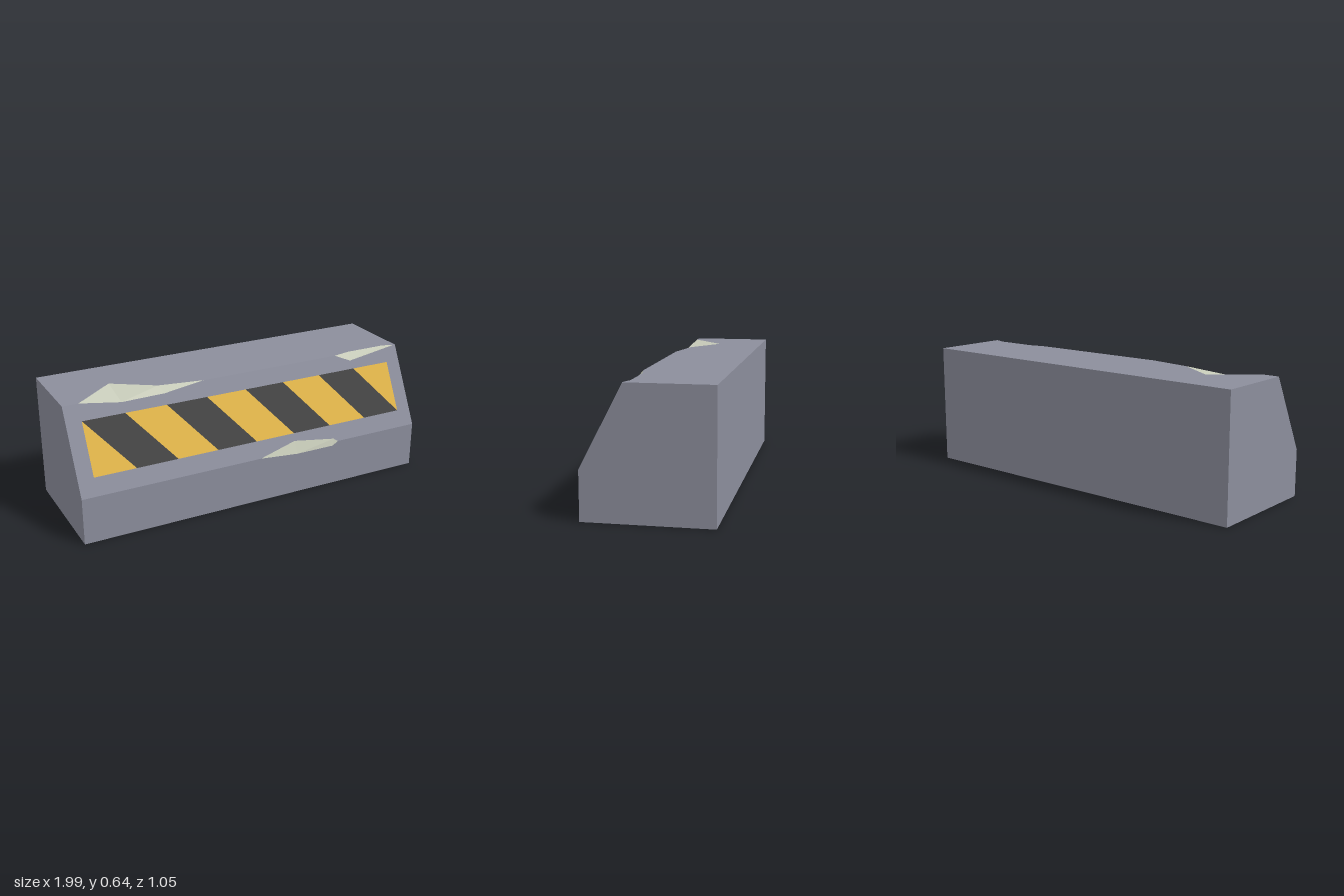
import * as THREE from 'three';

const L = 0.951, D = 0.311, H = 0.636; // half length, half depth, height
const LIP = 0.24, EDGE = 0.105; // bottom of the slope, z of the top front edge
const slopeZ = (y) => D - ((y - LIP) * (D - EDGE)) / (H - LIP);

const paint = (color) => new THREE.MeshStandardMaterial({ color, flatShading: true });
const concrete = paint(0x8c8e9c), broken = paint(0xc8ccba);
const yellow = paint(0xe0b44a), dark = paint(0x444444);

// Flat polygon drawn in 2D and placed in space by a mapping (a, b) -> [x, y, z]
function face(name, points, map, material) {
  const geo = new THREE.ShapeGeometry(new THREE.Shape(points.map((p) => new THREE.Vector2(...p))));
  const pos = geo.attributes.position;
  for (let i = 0; i < pos.count; i++) pos.setXYZ(i, ...map(pos.getX(i), pos.getY(i)));
  geo.computeVertexNormals();
  const mesh = new THREE.Mesh(geo, material);
  mesh.name = name;
  return mesh;
}

// Chipped edge: zigzag strip between the points on the upper and lower face
function chip(name, pts) {
  const v = [];
  for (let i = 0; i + 2 < pts.length; i++) {
    const tri = i % 2 ? [i, i + 1, i + 2] : [i, i + 2, i + 1];
    tri.forEach((k) => v.push(...pts[k]));
  }
  const geo = new THREE.BufferGeometry();
  geo.setAttribute('position', new THREE.Float32BufferAttribute(v, 3));
  geo.computeVertexNormals();
  const mesh = new THREE.Mesh(geo, broken);
  mesh.name = name;
  return mesh;
}
// Notch outlines that a chip leaves in the face above and the face below it
const upper = (c) => c.filter((p, i) => i === 0 || i === c.length - 1 || i % 2 === 1);
const lower = (c) => c.filter((p, i) => i === c.length - 1 || i % 2 === 0);

export function createModel() {
  const model = new THREE.Group();
  model.name = 'concreteBarrier';

  const onTop = (x, z = EDGE) => [x, H, z];
  const onSlope = (x, y) => [x, y, slopeZ(y)];
  const onFront = (x, y) => [x, y, D];

  const chipA = [onTop(-0.87), onTop(-0.654, -0.069), onSlope(-0.66, 0.608),
    onTop(-0.447, 0.066), onSlope(-0.434, 0.611), onTop(-0.215)];
  const chipB = [onTop(0.56), onTop(0.658, 0.085), onSlope(0.645, 0.6),
    onTop(0.88, 0.085), onTop(0.94)];
  const chipC = [onSlope(0.003, LIP), onSlope(0.213, 0.285), onFront(0.219, 0.22),
    onSlope(0.444, 0.255), onFront(0.435, 0.22), onSlope(0.466, LIP)];
  // chipB is one point short, so its last point closes both outlines
  const xz = (p) => [p[0], -p[2]], xy = (p) => [p[0], p[1]];

  // Concrete body, face by face
  const profile = [[-D, 0], [D, 0], [D, LIP], [EDGE, H], [-D, H]];
  model.add(
    face('topFace', [[-L, -EDGE], ...upper(chipA).map(xz), ...upper(chipB).map(xz),
      [L, -EDGE], [L, D], [-L, D]], (a, b) => [a, H, -b], concrete),
    face('slopedFace', [[-L, LIP], ...upper(chipC).map(xy), [L, LIP], [L, H],
      ...lower(chipB).map(xy).reverse(), ...lower(chipA).map(xy).reverse(), [-L, H]],
    (a, b) => [a, b, slopeZ(b)], concrete),
    face('frontFace', [[-L, 0], [L, 0], [L, LIP], ...lower(chipC).map(xy).reverse(), [-L, LIP]],
      (a, b) => [a, b, D], concrete),
    face('backFace', [[-L, 0], [L, 0], [L, H], [-L, H]], (a, b) => [-a, b, -D], concrete),
    face('bottomFace', [[-L, -D], [L, -D], [L, D], [-L, D]], (a, b) => [a, 0, b], concrete),
    face('rightEnd', profile, (a, b) => [-L, b, a], concrete),
    face('leftEnd', profile.map(([z, y]) => [-z, y]), (a, b) => [L, b, -a], concrete),
    chip('topChipRight', chipA),
    chip('topChipLeft', chipB),
    chip('lowerChip', chipC),
  );

  // Hazard stripes: slanted bands, cut to triangles at both ends of the panel
  const W = 0.872, step = W / 4, y0 = 0.32, y1 = 0.56;
  const lift = (a, b) => [a, b + 0.001, slopeZ(b) + 0.002];
  const stripes = new THREE.Group();
  stripes.name = 'hazardStripes';
  for (let i = -1; i < 8; i++) {
    const x = -W + i * step;
    const band = i === -1 ? [[-W, y0], [-W + step, y0], [-W, y1]]
      : i === 7 ? [[W, y0], [W, y1], [x, y1]]
        : [[x + step, y0], [x + 2 * step, y0], [x + step, y1], [x, y1]];
    stripes.add(face(i % 2 ? 'yellowStripe' : 'darkStripe', band, lift, i % 2 ? yellow : dark));
  }
  model.add(stripes);

  // The barrier stands slightly turned
  model.rotation.y = -0.236;
  return model;
}
